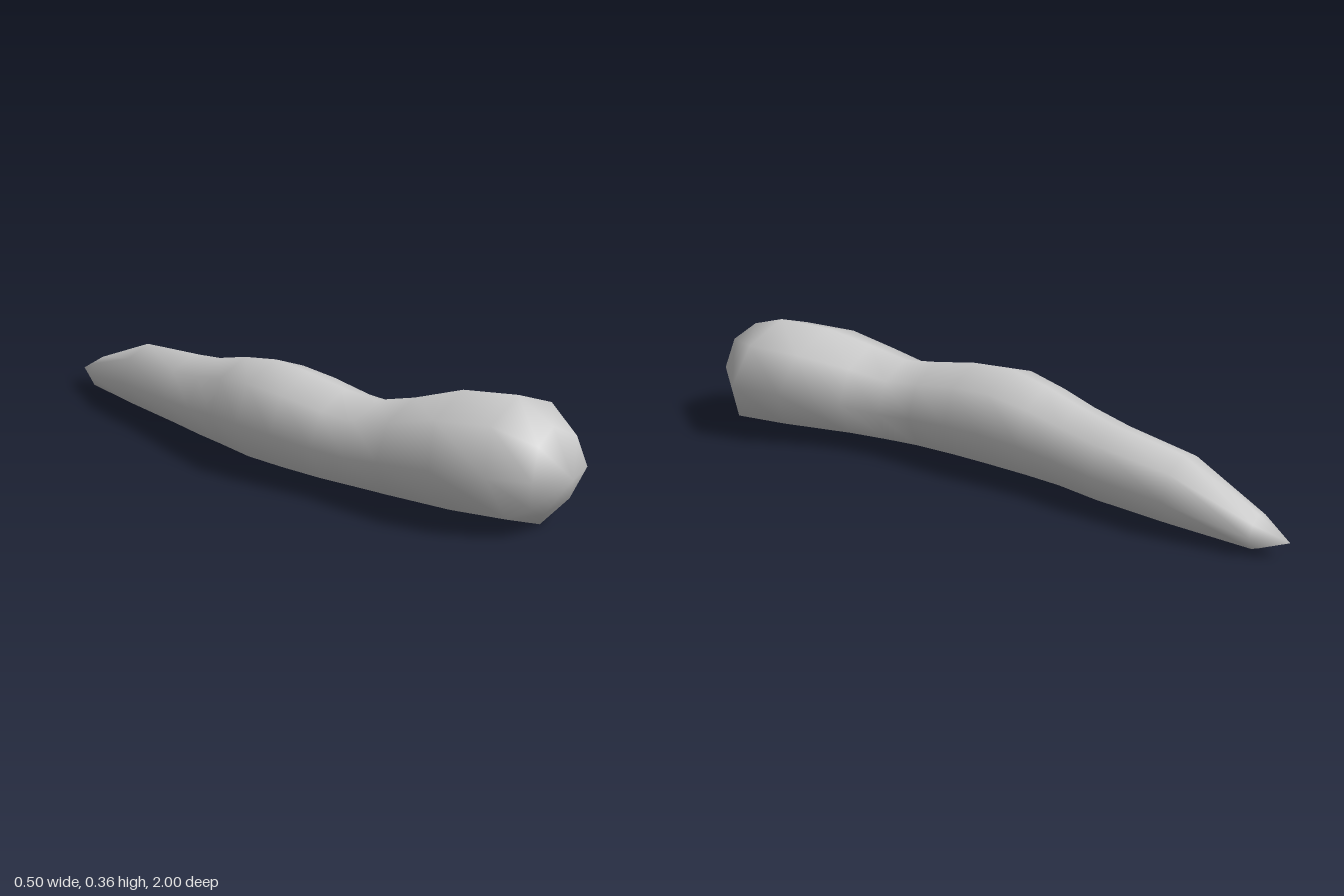
import * as THREE from 'three';

const SIDES = 8;

// Cross-sections from tail to head:
// [z, right x, left x, top y, bottom y, z tilt across x, z tilt across y, z bow]
const SECTIONS = [
  [-0.90, -0.035, 0.08, 0.11, 0.005, 0, 0, 0],
  [-0.64, -0.12, 0.11, 0.217, 0.003, 0, 0, 0],
  [-0.39, -0.165, 0.098, 0.243, 0.002, 0, 0, 0],
  [-0.25, -0.195, 0.08, 0.265, 0.002, 0, 0, 0],
  [-0.13, -0.22, 0.083, 0.297, 0.001, 0, 0, 0],
  [0.01, -0.25, 0.09, 0.322, 0, 0, 0, 0],
  [0.14, -0.242, 0.085, 0.312, 0, 0, 0, 0],
  [0.28, -0.22, 0.08, 0.288, 0, 0, 0, 0],
  [0.39, -0.2, 0.093, 0.277, 0.001, 0, 0, 0],
  [0.51, -0.2, 0.132, 0.307, 0.002, 0, 0, 0],
  [0.69, -0.19, 0.215, 0.35, 0.003, 0, -0.045, 0],
  [0.85, -0.145, 0.25, 0.362, 0.005, 0, -0.045, 0],
  [0.935, -0.08, 0.125, 0.312, 0.05, 0.017, 0.01, 0.04],
];

// Smooth loft through the cross-sections, closed by a point at each end
function loftBody(tail, nose) {
  const pos = [];
  const index = [];
  for (const [z, x0, x1, top, bottom, tiltX, tiltY, bow] of SECTIONS) {
    for (let j = 0; j < SIDES; j++) {
      const a = (j / SIDES) * Math.PI * 2;
      const c = Math.cos(a);
      const s = Math.sin(a);
      pos.push(
        (x0 + x1) / 2 + ((x1 - x0) / 2) * c,
        (top + bottom) / 2 + ((top - bottom) / 2) * s,
        z + tiltX * c + tiltY * s + bow * c * c
      );
    }
  }
  const rings = SECTIONS.length;
  const tailId = rings * SIDES;
  const noseId = tailId + 1;
  pos.push(...tail, ...nose);

  for (let j = 0; j < SIDES; j++) {
    const k = (j + 1) % SIDES;
    for (let i = 0; i < rings - 1; i++) {
      const r = i * SIDES;
      const n = r + SIDES;
      index.push(r + j, r + k, n + k, r + j, n + k, n + j);
    }
    const last = (rings - 1) * SIDES;
    index.push(tailId, k, j, noseId, last + j, last + k);
  }

  const geometry = new THREE.BufferGeometry();
  geometry.setAttribute('position', new THREE.Float32BufferAttribute(pos, 3));
  geometry.setIndex(index);
  geometry.computeVertexNormals();
  return geometry;
}

export function createModel() {
  const group = new THREE.Group();
  group.name = 'taperedBody';
  const body = new THREE.Mesh(
    loftBody([0.025, 0.05, -1], [0.05, 0.165, 1]),
    new THREE.MeshStandardMaterial({ color: 0xcccccc })
  );
  body.name = 'body';
  group.add(body);
  return group;
}
